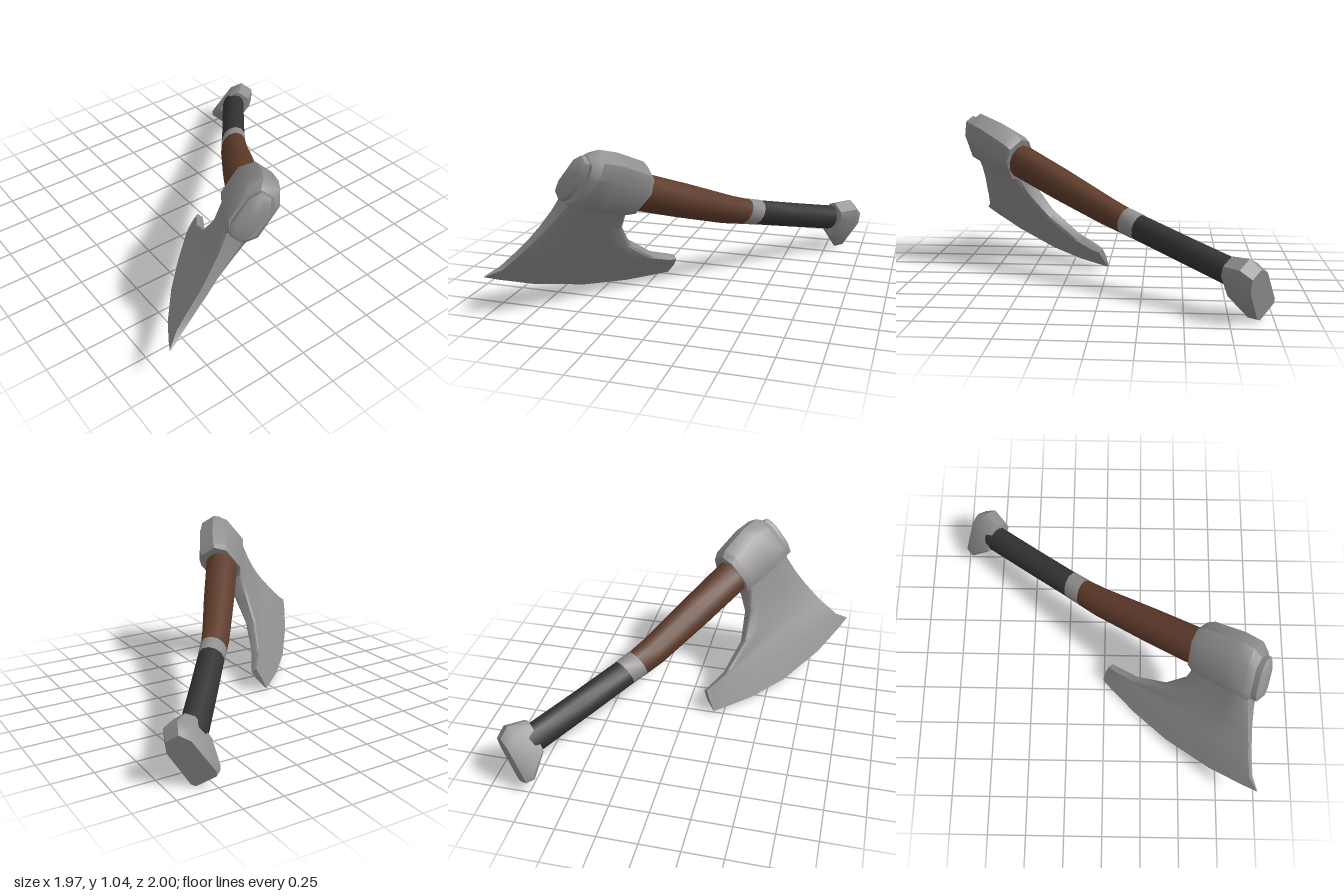
import * as THREE from 'three';
import { toCreasedNormals } from 'three/addons/utils/BufferGeometryUtils.js';

const mat = (name, color) => {
  const m = new THREE.MeshStandardMaterial({ color });
  m.name = name;
  return m;
};

// Skin a list of equal-length rings and close both ends
function loft(rings, crease) {
  const n = rings[0].length, pos = rings.flat(2), idx = [];
  for (let i = 0; i < rings.length - 1; i++) {
    for (let j = 0; j < n; j++) {
      const k = (j + 1) % n, a = i * n + j, b = i * n + k;
      idx.push(a, b, b + n, a, b + n, a + n);
    }
  }
  const last = (rings.length - 1) * n;
  for (const [r, base, flip] of [[rings[0], 0, true], [rings[rings.length - 1], last, false]]) {
    const c = [0, 1, 2].map((d) => r.reduce((s, p) => s + p[d], 0) / n);
    const ci = pos.length / 3;
    pos.push(...c);
    for (let j = 0; j < n; j++) {
      const p = base + j, q = base + ((j + 1) % n);
      if (flip) idx.push(ci, q, p);
      else idx.push(ci, p, q);
    }
  }
  const g = new THREE.BufferGeometry();
  g.setAttribute('position', new THREE.Float32BufferAttribute(pos, 3));
  g.setIndex(idx);
  return toCreasedNormals(g, crease);
}

// Unit cross-sections, counter-clockwise in (height, width)
const oval = Array.from({ length: 12 }, (_, i) => {
  const t = (i / 12) * Math.PI * 2;
  return [Math.cos(t), Math.sin(t)];
});
const block = [[1, -0.55], [1, 0.55], [0.6, 1], [-0.55, 1], [-1, 0.5], [-1, -0.5], [-0.55, -1], [0.6, -1]];
const hoof = [[1, -0.8], [1, 0.8], [0.85, 1], [-0.6, 0.95], [-1, 0.5], [-1, -0.5], [-0.6, -0.95], [0.85, -1]];

// Station: back edge (u, v), blade-side edge (u, v), half width; side shifts it sideways
const ring = (section, [u0, v0, u1, v1, w], side) => section.map(([h, s]) => {
  const t = (h + 1) / 2;
  return [u0 + (u1 - u0) * t, v0 + (v1 - v0) * t, s * w + side];
});
const lofted = (section, side, stations, crease = 0.75) =>
  loft(stations.map((s) => ring(section, s, side)), crease);
// Handle station: position along shaft, centre, half height, half width
const shaft = (list) => lofted(oval, 0.03, list.map(([u, v, h, w]) => [u, v - h, u, v + h, w]), 0.9);

function bladeGeometry() {
  // Rows from neck to edge: front corner, beard corner, half thickness, sideways shift
  const rows = [
    [-0.18, 0.06, 0.2, 0.06, 0.095, 0.028],
    [-0.185, 0.15, 0.225, 0.15, 0.072, 0.028],
    [-0.195, 0.27, 0.275, 0.26, 0.052, 0.015],
    [-0.213, 0.4, 0.44, 0.4, 0.038, 0.006],
    [-0.232, 0.5, 0.69, 0.478, 0.032, 0],
    [-0.252, 0.6, 0.875, 0.472, 0.029, 0],
    [-0.29, 0.74, 0.9, 0.53, 0.024, 0],
  ];
  const ts = [0, 0.06, 0.3, 0.56, 0.78, 0.95, 1];
  const around = (pts, w, side) => {
    const half = (s) => pts.map(([u, v], i) => {
      const rim = i === 0 || i === pts.length - 1 ? 0.7 : 1;
      return [u, v, s * w * rim + side];
    });
    return [...half(1), ...half(-1).reverse()];
  };
  const rings = rows.map(([u0, v0, u1, v1, w, side]) =>
    around(ts.map((t) => [u0 + (u1 - u0) * t, v0 + (v1 - v0) * t]), w, side));
  // Curved cutting edge
  const edge = [[-0.357, 0.828], [-0.25, 0.838], [0.0, 0.85], [0.355, 0.815], [0.635, 0.738], [0.86, 0.645], [0.92, 0.618]];
  rings.push(around(edge, 0.004, 0));
  return loft(rings, 0.8);
}

export function createModel() {
  const steel = mat('steel', 0x918e8e);
  const wood = mat('brown wood', 0x5e3b2a);
  const leather = mat('black grip', 0x333333);

  const axe = new THREE.Group();
  axe.name = 'axe';
  const add = (name, geometry, material) => {
    const m = new THREE.Mesh(geometry, material);
    m.name = name;
    axe.add(m);
  };

  // Head socket around the shaft
  add('headSocket', lofted(block, 0.028, [
    [-0.205, -0.15, -0.2, 0.14, 0.088],
    [-0.155, -0.198, -0.175, 0.16, 0.108],
    [-0.03, -0.206, -0.03, 0.16, 0.112],
    [0.18, -0.182, 0.19, 0.15, 0.115],
    [0.23, -0.155, 0.225, 0.135, 0.109],
  ]), steel);
  add('blade', bladeGeometry(), steel);

  // Shaft end poking out of the socket
  add('endCap', lofted(block, 0.038, [
    [-0.255, -0.118, -0.255, 0.118, 0.045],
    [-0.238, -0.145, -0.238, 0.145, 0.065],
    [-0.17, -0.145, -0.17, 0.145, 0.065],
  ]), steel);

  // Bent handle
  add('woodenHandle', shaft([
    [0.18, 0, 0.122, 0.105],
    [0.6, 0.008, 0.114, 0.098],
    [1.0, 0.014, 0.1, 0.082],
    [1.16, 0.004, 0.092, 0.075],
  ]), wood);
  add('handleRing', shaft([
    [1.145, 0.003, 0.094, 0.078],
    [1.255, -0.008, 0.092, 0.076],
  ]), steel);
  add('grip', shaft([
    [1.24, -0.006, 0.09, 0.074],
    [1.6, -0.046, 0.091, 0.074],
    [2.0, -0.094, 0.093, 0.075],
  ]), leather);

  // Flared pommel
  add('pommel', lofted(hoof, 0.012, [
    [1.93, -0.2, 1.985, 0.005, 0.085],
    [2.045, -0.258, 2.13, 0.092, 0.096],
    [2.125, -0.228, 2.185, 0.075, 0.086],
  ]), steel);

  // Lay the axe down: shaft, blade and side directions
  const a = new THREE.Vector3(0.52, -0.32, -0.79).normalize();
  const n = a.clone().cross(new THREE.Vector3(-0.62, -0.778, -0.095)).normalize();
  const b = n.clone().cross(a);
  axe.quaternion.setFromRotationMatrix(new THREE.Matrix4().makeBasis(a, b, n));
  axe.position.set(-0.28, 0.8, 0.78);

  const model = new THREE.Group();
  model.name = 'beardedAxe';
  model.add(axe);
  return model;
}
